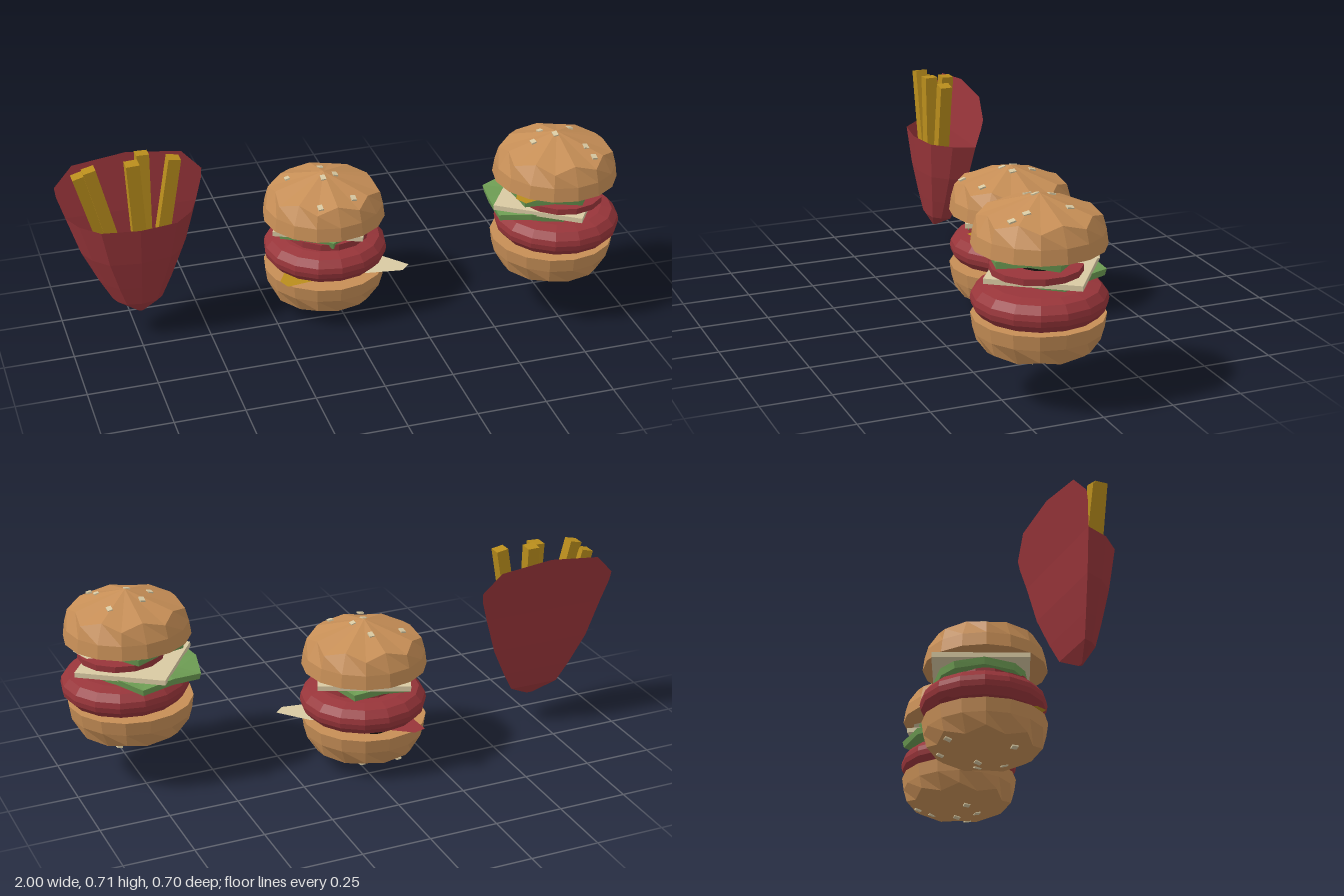
import * as THREE from 'three';

const mat = (name, color, side = THREE.FrontSide) => {
  const m = new THREE.MeshStandardMaterial({ color, flatShading: true, side });
  m.name = name;
  return m;
};

export function createModel() {
  const bunTan = mat('bun tan', 0xc68e56);
  const red = mat('red', 0x98353a, THREE.DoubleSide);
  const green = mat('lettuce green', 0x6d9c53);
  const cream = mat('cream', 0xd8c9a2, THREE.DoubleSide);
  const gold = mat('fry gold', 0xb98d1c, THREE.DoubleSide);
  const dark = mat('dark pickle', 0x17110f);

  const model = new THREE.Group();
  model.name = 'burgersAndFries';

  const add = (parent, name, geo, material, x = 0, y = 0, z = 0) => {
    const mesh = new THREE.Mesh(geo, material);
    mesh.name = name;
    mesh.position.set(x, y, z);
    parent.add(mesh);
    return mesh;
  };
  const lathe = (pts, seg) => new THREE.LatheGeometry(pts.map(p => new THREE.Vector2(...p)), seg);

  // Faceted bun half with a zigzag ring below the shallow crown
  const bunGeo = lathe([[0, 0], [0.223, 0], [0.216, 0.05], [0.18, 0.115], [0, 0.17]], 16);
  const bp = bunGeo.attributes.position;
  for (let i = 1; i <= 16; i += 2) {
    const k = i * 5 + 3;
    bp.setXYZ(k, bp.getX(k) * 1.13, 0.096, bp.getZ(k) * 1.13);
  }

  // Bun half with seeds lying on the crown
  const bun = (parent, name, y, flipped, seeds) => {
    const g = new THREE.Group();
    g.name = name;
    add(g, 'bunHalf', bunGeo, bunTan);
    for (const [x, z] of seeds) {
      const r = Math.hypot(x, z);
      const seed = add(g, 'seed', new THREE.BoxGeometry(0.018, 0.006, 0.024), cream, x, 0.17 - r * 0.31, z);
      seed.quaternion.setFromUnitVectors(new THREE.Vector3(0, 1, 0),
        new THREE.Vector3(x / r * 0.3, 1, z / r * 0.3).normalize());
    }
    g.position.y = y;
    if (flipped) g.rotation.x = Math.PI;
    parent.add(g);
  };

  // Rounded patty
  const pattyGeo = lathe([[0, -0.055], [0.16, -0.055], [0.2, -0.045], [0.222, -0.02], [0.226, 0],
    [0.222, 0.02], [0.2, 0.045], [0.16, 0.055], [0, 0.055]], 16);

  // Five-cornered leaf with a gently wavy rim
  const lettuceGeo = (r, h) => {
    const geo = lathe([[0, 0], [r * 0.6, 0], [r * 0.97, 0], [r, h], [r * 0.6, h], [0, h]], 10);
    const p = geo.attributes.position;
    for (let i = 0; i < p.count; i++) {
      const a = Math.atan2(p.getX(i), p.getZ(i));
      const d = Math.hypot(p.getX(i), p.getZ(i)) / r;
      const s = 1 + 0.07 * Math.cos(5 * a) * d;
      p.setXYZ(i, p.getX(i) * s, p.getY(i) - 0.008 * d * d * (1 + Math.cos(5 * a)), p.getZ(i) * s);
    }
    return geo;
  };

  // Thin pointed sheet reaching from the middle toward (dx, dz)
  const sheet = (parent, name, material, y, dx, dz, width) => {
    const len = Math.hypot(dx, dz);
    const s = new THREE.Shape();
    s.moveTo(-0.1, -width * 0.7);
    s.lineTo(len * 0.55, -width);
    s.lineTo(len * 0.95, -width * 0.4);
    s.lineTo(len, width * 0.25);
    s.lineTo(len * 0.6, width);
    s.lineTo(-0.1, width * 0.7);
    const geo = new THREE.ShapeGeometry(s).rotateX(-Math.PI / 2);
    add(parent, name, geo, material, 0, y, 0).rotation.y = Math.atan2(-dz, dx);
  };

  const disc = (r, h, seg = 14) => new THREE.CylinderGeometry(r, r, h, seg);

  // Middle burger
  const a = new THREE.Group();
  a.name = 'middleBurger';
  a.position.set(-0.04, 0, -0.115);
  model.add(a);
  const seedsA = [[0.01, -0.08], [-0.06, 0.165], [0.07, 0.14], [0.04, 0.01], [-0.01, 0.03], [-0.12, -0.06]];
  bun(a, 'bottomBun', 0.17, true, seedsA);
  sheet(a, 'onionSheet', cream, 0.172, 0.28, 0.14, 0.07);
  sheet(a, 'ketchupSheet', red, 0.1735, -0.13, -0.215, 0.07);
  sheet(a, 'mustardSheet', gold, 0.175, -0.19, 0.14, 0.07);
  add(a, 'pickle', disc(0.05, 0.006), dark, 0.02, 0.179, -0.13);
  add(a, 'patty', pattyGeo, red, 0.005, 0.237, -0.003);
  add(a, 'tomato', disc(0.153, 0.024), red, 0.01, 0.311, 0.01);
  add(a, 'lettuce', lettuceGeo(0.17, 0.026), green, -0.005, 0.322, -0.015).rotation.y = -2.55;
  add(a, 'cheese', new THREE.BoxGeometry(0.345, 0.018, 0.325), cream, 0.005, 0.358, -0.013).rotation.y = 1.15;
  bun(a, 'topBun', 0.37, false, seedsA);

  // Right-hand burger with two leaves
  const b = new THREE.Group();
  b.name = 'tallBurger';
  b.position.set(0.755, 0, 0.123);
  model.add(b);
  const seedsB = [[-0.04, -0.06], [0.08, -0.07], [-0.09, 0.005], [-0.01, 0.012], [0.08, 0.08], [0.09, 0.135]];
  bun(b, 'bottomBun', 0.293, true, seedsB);
  add(b, 'patty', pattyGeo, red, 0.015, 0.351, 0.004);
  add(b, 'lowerLettuce', lettuceGeo(0.185, 0.024), green, -0.055, 0.411, -0.05).rotation.y = -2.3;
  add(b, 'cheese', new THREE.BoxGeometry(0.323, 0.018, 0.323), cream, -0.012, 0.438, -0.018).rotation.y = 0.96;
  add(b, 'tomato', disc(0.153, 0.022), red, 0.02, 0.459, 0.019);
  add(b, 'pickle', disc(0.072, 0.006), dark, 0.05, 0.483, 0.02);
  add(b, 'upperLettuce', lettuceGeo(0.168, 0.026), green, -0.025, 0.493, 0.007).rotation.y = 0.4;
  sheet(b, 'onionSheet', cream, 0.525, 0.2, -0.1, 0.12);
  sheet(b, 'mustardSheet', gold, 0.527, -0.19, 0.165, 0.07);
  bun(b, 'topBun', 0.53, false, seedsB);

  // Fries carton
  const c = new THREE.Group();
  c.name = 'friesCarton';
  c.position.x = -0.736;
  model.add(c);
  const rim = [[-0.235, -0.165], [-0.2, -0.085], [-0.135, -0.02], [0, 0], [0.135, -0.02], [0.2, -0.085], [0.235, -0.165]];
  const levels = [[0.1, 0.05], [0.145, 0.4], [0.22, 0.58], [0.33, 0.81], [0.47, 1]];
  const n = rim.length, pos = [], idx = [];
  for (const [y, s] of levels)
    for (const [x, z] of rim) pos.push(x * s, y, -0.08 + (z + 0.08) * s);
  for (let l = 0; l < levels.length - 1; l++)
    for (let i = 0; i < n; i++) {
      const p = l * n + i, q = l * n + (i + 1) % n;
      idx.push(p, q, q + n, p, q + n, p + n);
    }
  for (let i = 1; i < n - 1; i++) idx.push(0, i + 1, i);
  const pocket = new THREE.BufferGeometry();
  pocket.setAttribute('position', new THREE.Float32BufferAttribute(pos, 3));
  pocket.setIndex(idx);
  pocket.computeVertexNormals();
  add(c, 'cartonPocket', pocket, red);

  // Tall back flap, leaning away
  const flap = new THREE.Shape();
  [[-0.235, 0.47], [0.235, 0.47], [0.26, 0.55], [0.264, 0.585], [0.195, 0.657], [0, 0.68], [-0.195, 0.657],
    [-0.264, 0.585], [-0.26, 0.55]].forEach(([x, y], i) => (i ? flap.lineTo(x, y) : flap.moveTo(x, y)));
  const flapGeo = new THREE.ShapeGeometry(flap);
  const fp = flapGeo.attributes.position;
  for (let i = 0; i < fp.count; i++) fp.setZ(i, -0.165 - (fp.getY(i) - 0.47) * 0.167);
  add(c, 'cartonFlap', flapGeo, red);

  // Fries: base and tip points, relative to the carton
  const fries = [
    [[-0.09, 0.3, -0.11], [-0.19, 0.66, -0.11], 0.045],
    [[-0.06, 0.3, -0.08], [-0.155, 0.69, -0.085], 0.045],
    [[0.012, 0.28, -0.07], [-0.006, 0.7, -0.07], 0.048],
    [[0.03, 0.28, -0.09], [0.04, 0.71, -0.12], 0.045],
    [[0.07, 0.28, -0.08], [0.143, 0.7, -0.075], 0.045],
  ];
  for (const [from, to, w] of fries) {
    const p = new THREE.Vector3(...from), d = new THREE.Vector3(...to).sub(p);
    const fry = add(c, 'fry', new THREE.BoxGeometry(w, d.length(), w), gold);
    fry.position.copy(p).addScaledVector(d, 0.5);
    fry.quaternion.setFromUnitVectors(new THREE.Vector3(0, 1, 0), d.normalize());
  }
  return model;
}
